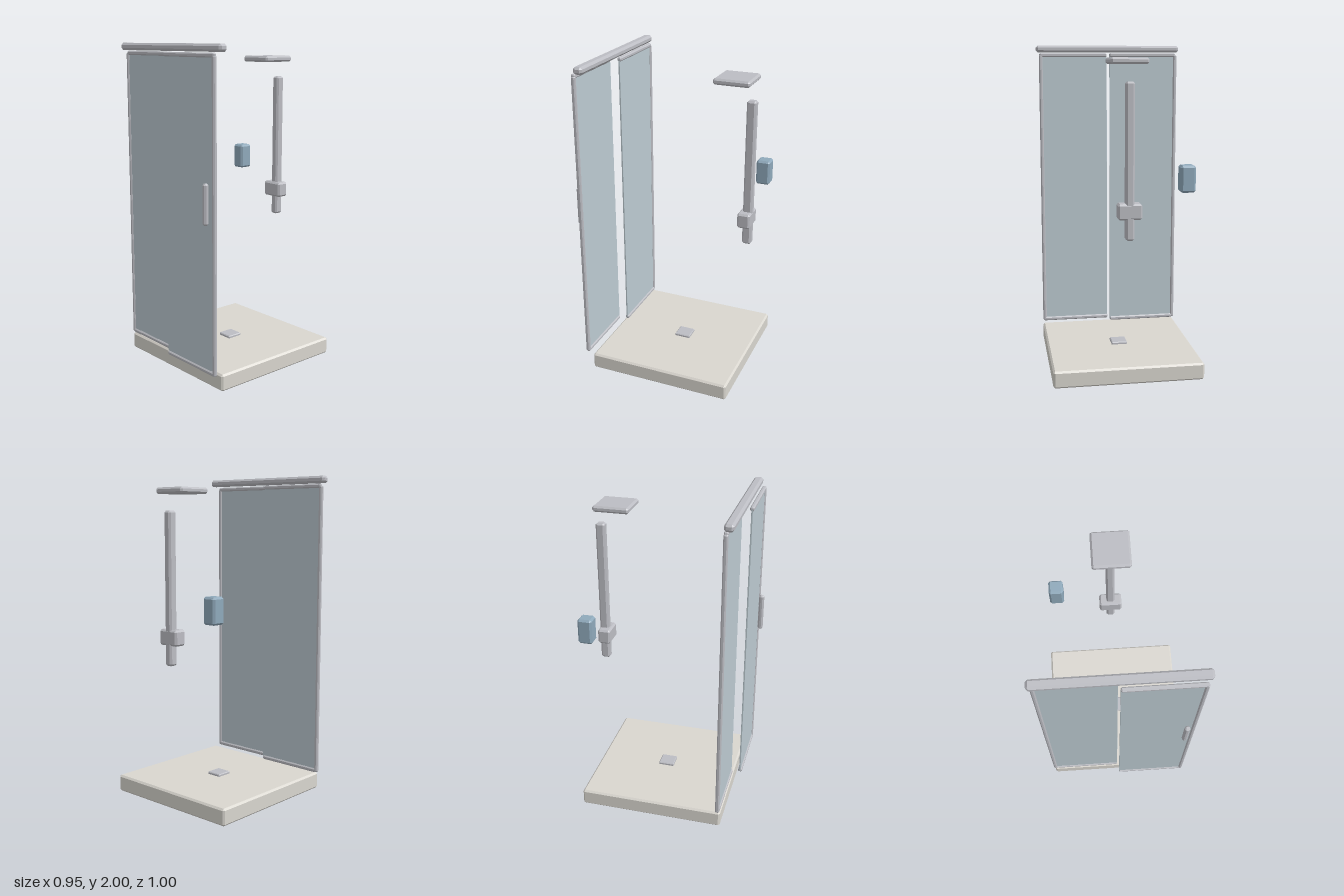
import * as THREE from 'three';
import { ConvexGeometry } from 'three/addons/geometries/ConvexGeometry.js';

const material = (color) => new THREE.MeshStandardMaterial({ color, flatShading: true });

// Box with every edge cut at 45 degrees by c
function chamferBox(w, h, d, c) {
  const points = [];
  for (const x of [-1, 1]) for (const y of [-1, 1]) for (const z of [-1, 1]) {
    for (let flat = 0; flat < 3; flat++) {
      points.push(new THREE.Vector3(
        x * (w / 2 - (flat === 0 ? 0 : c)),
        y * (h / 2 - (flat === 1 ? 0 : c)),
        z * (d / 2 - (flat === 2 ? 0 : c))));
    }
  }
  return new ConvexGeometry(points);
}

export function createModel() {
  const model = new THREE.Group();
  model.name = 'showerEnclosure';

  const ceramic = material(0xd9d6cf);
  const chrome = material(0xbcbdc3);
  const glass = material(0xbccad1);
  const blue = material(0x8fa9bb);

  // Adds a chamfered part from its extents on each axis
  function part(parent, name, [x0, x1], [y0, y1], [z0, z1], c, mat) {
    const mesh = new THREE.Mesh(chamferBox(x1 - x0, y1 - y0, z1 - z0, c), mat);
    mesh.position.set((x0 + x1) / 2, (y0 + y1) / 2, (z0 + z1) / 2);
    mesh.name = name;
    parent.add(mesh);
    return mesh;
  }

  // Floor tray and drain
  part(model, 'tray', [-0.457, 0.457], [0, 0.105], [-0.498, 0.414], 0.011, ceramic);
  part(model, 'drainCover', [-0.05, 0.05], [0.1, 0.12], [-0.096, 0.006], 0.005, chrome);

  // Overhead sliding rail
  part(model, 'topRail', [-0.477, 0.475], [1.956, 2], [0.386, 0.443], 0.013, chrome);

  // Glass panels framed on the top, the bottom and the outer side
  function panel(name, x0, x1, outerX, z) {
    const group = new THREE.Group();
    group.name = name;
    const depth = [z - 0.013, z + 0.013];
    part(group, 'glassPane', [x0, x1], [0.115, 1.94], [z - 0.005, z + 0.005], 0.001, glass);
    part(group, 'topFrame', [x0, x1], [1.926, 1.952], depth, 0.007, chrome);
    part(group, 'bottomFrame', [x0, x1], [0.106, 0.132], depth, 0.007, chrome);
    part(group, 'sideFrame', [outerX - 0.012, outerX + 0.012], [0.11, 1.94], depth, 0.007, chrome);
    model.add(group);
    return group;
  }
  panel('fixedPanel', -0.455, -0.01, -0.454, 0.397);
  const door = panel('slidingDoor', 0, 0.45, 0.441, 0.456);
  part(door, 'doorHandle', [0.38, 0.412], [1.003, 1.243], [0.468, 0.5], 0.01, chrome);

  // Shower column, mixer valve and overhead spray
  part(model, 'showerColumn', [-0.026, 0.026], [0.873, 1.784], [-0.488, -0.43], 0.011, chrome);
  part(model, 'mixerValve', [-0.071, 0.071], [0.995, 1.09], [-0.489, -0.409], 0.011, chrome);
  part(model, 'showerHead', [-0.11, 0.11], [1.881, 1.918], [-0.472, -0.25], 0.011, chrome);

  // Soap dispenser on the back wall
  part(model, 'soapDispenser', [-0.383, -0.294], [1.148, 1.306], [-0.497, -0.408], 0.012, blue);

  return model;
}
